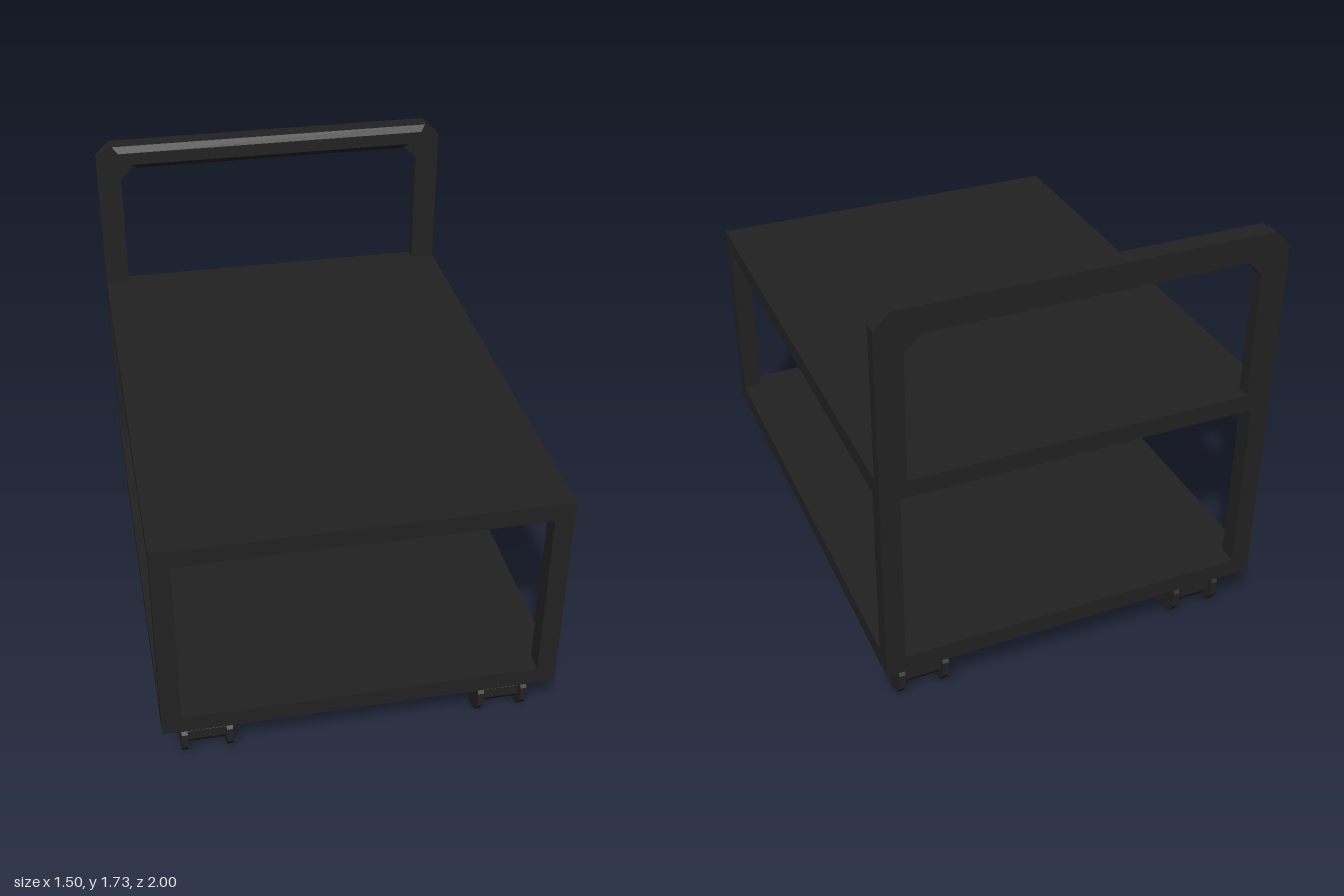
import * as THREE from 'three';

export function createModel() {
  const model = new THREE.Group();
  model.name = 'utilityCart';
  const black = new THREE.MeshStandardMaterial({ color: 0x222222, flatShading: true });
  black.name = 'matte black';

  const add = (parent, name, geometry, x = 0, y = 0, z = 0) => {
    const mesh = new THREE.Mesh(geometry, black);
    mesh.name = name;
    mesh.position.set(x, y, z);
    parent.add(mesh);
    return mesh;
  };
  const polygon = (points) => points.map(([x, y]) => new THREE.Vector2(x, y));
  const extrude = (shape, depth) =>
    new THREE.ExtrudeGeometry(shape, { depth, bevelEnabled: false });

  // Two full-width shelves
  add(model, 'lowerShelf', new THREE.BoxGeometry(1.5, 0.07, 2), 0, 0.27, 0);
  add(model, 'upperShelf', new THREE.BoxGeometry(1.5, 0.07, 2), 0, 1.045, 0);

  // Corner posts between the shelves
  for (const sx of [-1, 1]) {
    for (const sz of [-1, 1]) {
      add(model, 'cornerPost', new THREE.BoxGeometry(0.073, 0.705, 0.073),
        sx * 0.7135, 0.6575, sz * 0.9635);
    }
  }

  // Push handle: a flat arch with chamfered corners inside and out
  const arch = new THREE.Shape(polygon([
    [-0.75, 1.08], [-0.65, 1.08], [-0.65, 1.57], [-0.59, 1.63],
    [0.59, 1.63], [0.65, 1.57], [0.65, 1.08], [0.75, 1.08],
    [0.75, 1.67], [0.69, 1.73], [-0.69, 1.73], [-0.75, 1.67],
  ]));
  add(model, 'handleFrame', extrude(arch, 0.05), 0, 0, -1);

  // Bevelled grip on the front of the handle, its ends cut at 45 degrees
  const gripProfile = new THREE.Shape(polygon([
    [0.95, 1.63], [0.95, 1.73], [0.925, 1.73], [0.9, 1.707], [0.9, 1.655], [0.925, 1.63],
  ]));
  const grip = extrude(gripProfile, 1).translate(0, 0, -0.5).rotateY(Math.PI / 2);
  const p = grip.attributes.position;
  for (let i = 0; i < p.count; i++) {
    p.setX(i, Math.sign(p.getX(i)) * (p.getY(i) - 1.05));
  }
  // The profile runs in -z after turning, so it already lies at the back
  grip.computeVertexNormals();
  add(model, 'handleGrip', grip);

  // Casters: tapered mount, hub and a thin disc on each side
  const drum = (radius, width) =>
    new THREE.CylinderGeometry(radius, radius, width, 10, 1, false, Math.PI / 2)
      .rotateZ(Math.PI / 2);
  const mountShape = new THREE.Shape(polygon([
    [-0.075, 0.235], [-0.04, 0.1], [0.04, 0.1], [0.075, 0.235],
  ]));
  for (const sx of [-1, 1]) {
    for (const z of [0.825, -0.825]) {
      const caster = new THREE.Group();
      caster.name = 'caster';
      caster.position.set(sx * 0.578, 0, z);
      model.add(caster);
      add(caster, 'casterMount',
        extrude(mountShape, 0.15).translate(0, 0, -0.075).rotateY(Math.PI / 2));
      add(caster, 'wheelHub', drum(0.07, 0.16), 0, 0.1, 0);
      for (const side of [-1, 1]) {
        add(caster, 'wheelDisc', drum(0.1, 0.024), side * 0.086, 0.1, 0);
      }
    }
  }
  return model;
}
